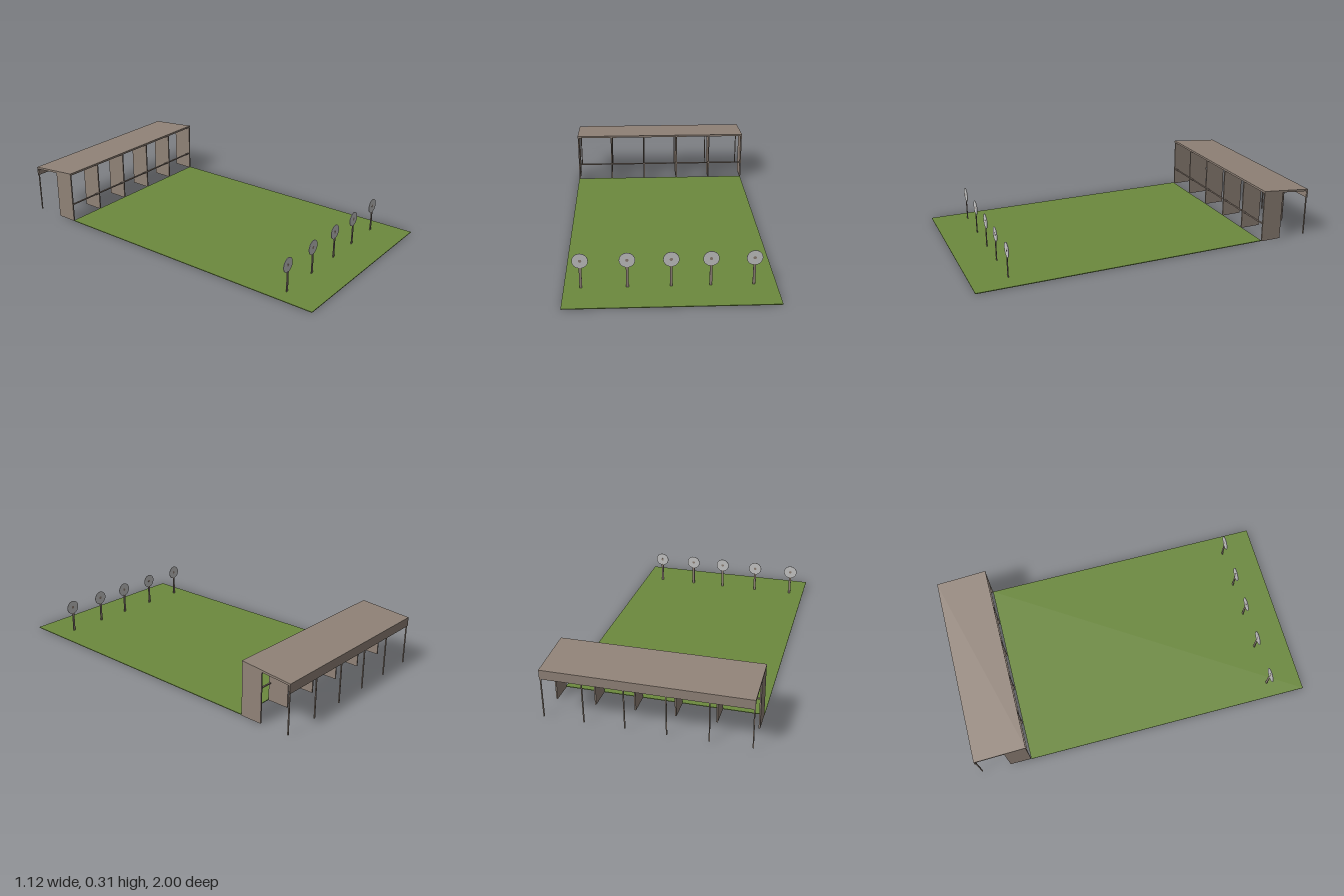
import * as THREE from 'three';

const brown = new THREE.MeshStandardMaterial({ name: 'weathered wood', color: 0x918378 });
const green = new THREE.MeshStandardMaterial({ name: 'grass green', color: 0x6c8a3e });
const grey = new THREE.MeshStandardMaterial({ name: 'target grey', color: 0xc8c8c8 });

function box(name, material, [x0, x1], [y0, y1], [z0, z1]) {
  const mesh = new THREE.Mesh(new THREE.BoxGeometry(x1 - x0, y1 - y0, z1 - z0), material);
  mesh.position.set((x0 + x1) / 2, (y0 + y1) / 2, (z0 + z1) / 2);
  mesh.name = name;
  return mesh;
}

// Extrudes a side outline of [z, y] points along x
function sidePanel(name, points, x0, x1) {
  const shape = new THREE.Shape(points.map(([z, y]) => new THREE.Vector2(-z, y)));
  const geometry = new THREE.ExtrudeGeometry(shape, { depth: x1 - x0, bevelEnabled: false });
  geometry.rotateY(Math.PI / 2).translate(x0, 0, 0);
  const mesh = new THREE.Mesh(geometry, brown);
  mesh.name = name;
  return mesh;
}

// Flat round disc facing +z
function disc(name, material, radius, depth, sides) {
  const geometry = new THREE.CylinderGeometry(radius, radius, depth, sides).rotateX(Math.PI / 2);
  const mesh = new THREE.Mesh(geometry, material);
  mesh.name = name;
  return mesh;
}

function createTarget(x) {
  const target = new THREE.Group();
  target.name = 'target';
  target.add(box('targetStem', brown, [-0.007, 0.007], [0, 0.122], [-0.002, 0.002]));
  const face = disc('targetFace', grey, 0.042, 0.003, 32);
  face.position.y = 0.16;
  const centre = disc('targetCentre', brown, 0.009, 0.004, 8);
  centre.position.y = 0.16;
  target.add(face, centre);
  target.position.set(x, 0, 0.794);
  return target;
}

export function createModel() {
  const model = new THREE.Group();
  model.name = 'shootingRange';

  // Field
  model.add(box('field', green, [-0.56, 0.553], [0, 0.004], [-0.7, 1]));

  // Shelter with sloping roof, stall dividers and rear posts
  const shelter = new THREE.Group();
  shelter.name = 'shelter';
  shelter.add(sidePanel('roof', [[-0.7, 0.298], [-0.7, 0.31], [-1, 0.282], [-1, 0.27]], -0.56, 0.558));
  shelter.add(box('rearFascia', brown, [-0.56, 0.558], [0.229, 0.272], [-1, -0.994]));
  for (let i = 0; i < 6; i++) {
    const x = -0.5545 + i * 0.2215;
    shelter.add(sidePanel('stallDivider',
      [[-0.701, 0], [-0.701, 0.3], [-0.825, 0.289], [-0.825, 0]], x - 0.004, x + 0.004));
    shelter.add(box('rearPost', brown, [x - 0.003, x + 0.003], [0, 0.272], [-0.997, -0.991]));
  }
  shelter.add(box('counterRail', brown, [-0.555, 0.553], [0.101, 0.108], [-0.714, -0.706]));
  model.add(shelter);

  // Row of round targets
  for (const x of [-0.47, -0.228, 0, 0.207, 0.433]) model.add(createTarget(x));

  return model;
}
